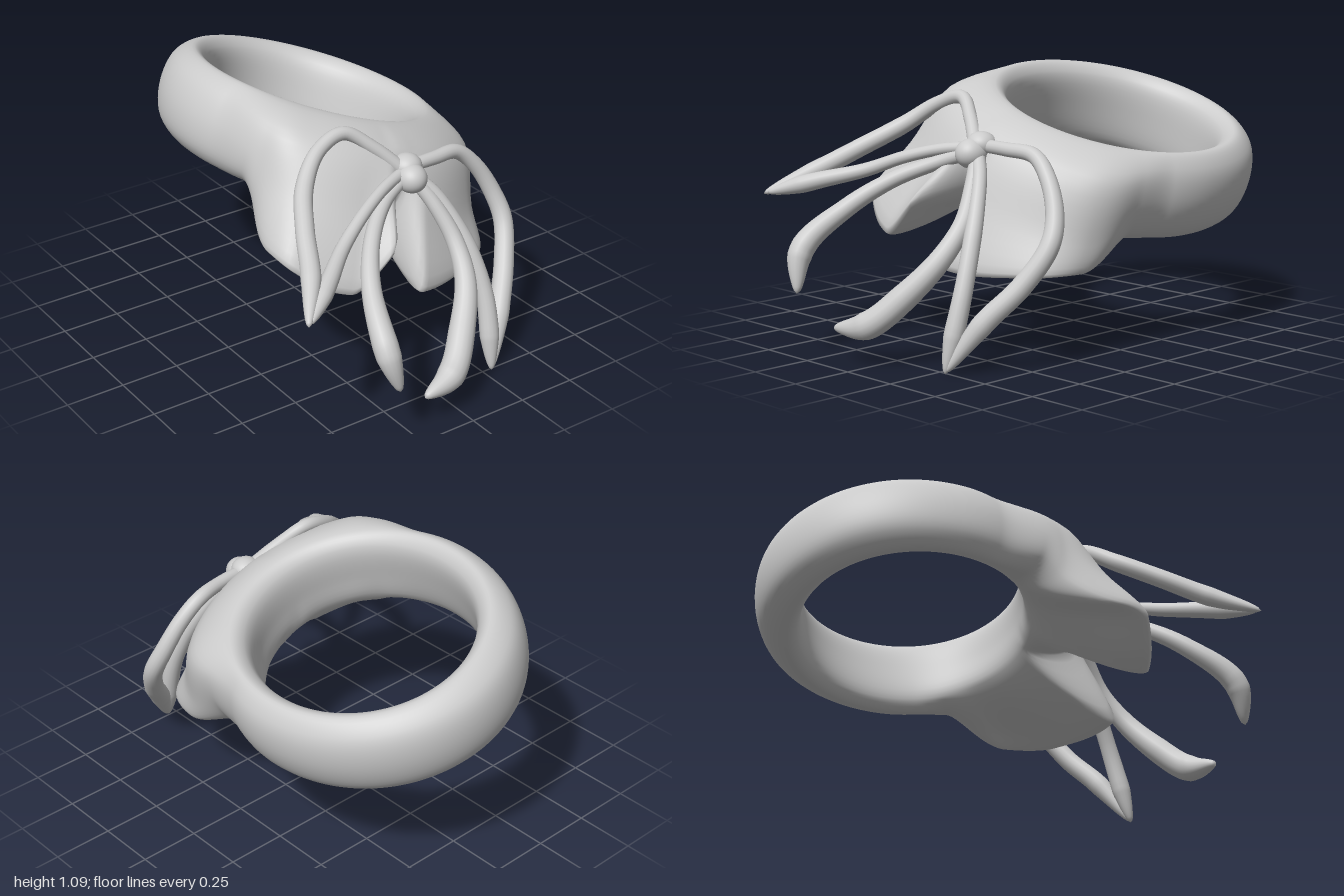
import * as THREE from 'three';
import { mergeVertices } from 'three/addons/utils/BufferGeometryUtils.js';

const material = new THREE.MeshStandardMaterial({ color: 0xcccccc, roughness: 0.6 });
const { lerp, smoothstep, degToRad } = THREE.MathUtils;
const V = (p) => new THREE.Vector3(...p);

// Cross-section (radius, height) of the band at an angle in degrees from the front
function bandSection(angle) {
  const a = Math.abs(angle + 1.3), left = angle > -1.3;
  const swell = 1 - smoothstep(a, 35, 72);                         // thicker front
  const notch = smoothstep(a, 1, 7);                               // gap between the two lobes
  const corner = smoothstep(a, 1, left ? 7 : 15);                  // rounding of the lobe corner
  const drop = corner * (1 - smoothstep(a, left ? 43 : 37, left ? 58 : 54)); // hanging depth
  const flare = notch * (1 - smoothstep(a, 30, left ? 58 : 48));   // outward reach
  const depth = left ? 0.4 - 0.15 * smoothstep(a, 4, 42) : 0.41 - 0.08 * smoothstep(a, 18, 38);
  const reach = left ? 0.92 : 0.945;
  const back = Math.max(0, -Math.cos(degToRad(angle)));
  const side = 0.045 * Math.sin(degToRad(angle)) ** 2;             // slightly oval opening
  const R = 0.595 + 0.065 * back * back;
  const mix = (base, front, lobe) => [
    lerp(lerp(base[0], front[0], swell), lobe[0], flare),
    lerp(lerp(base[1], front[1], swell), lobe[1], drop), 0];
  const points = [
    [0.49 - side, -0.15, 0], [0.47 - side, 0, 0], [0.485 - side, 0.145, 0], [0.54 - side, 0.188, 0],
    mix([R - 0.03, 0.13], [0.71, 0.11], [0.71, 0.11]),
    mix([R, 0], [0.74, -0.02], [0.83, -0.12]),
    mix([R - 0.03, -0.13], [0.7, -0.12], [reach, -depth]),
    mix([0.54 - side, -0.185], [0.59, -0.165], [0.79, -depth * 0.92]),
  ];
  return new THREE.CatmullRomCurve3(points.map(V), true, 'centripetal');
}

function makeBand() {
  const steps = 360, sides = 48, positions = [], index = [];
  for (let i = 0; i < steps; i++) {
    const angle = (i / steps) * 360 - 180, section = bandSection(angle), t = degToRad(angle);
    for (let k = 0; k < sides; k++) {
      const p = section.getPoint(k / sides);
      positions.push(p.x * Math.sin(t), p.y, p.x * Math.cos(t));
      const a = i * sides + k, c = i * sides + (k + 1) % sides;
      const b = ((i + 1) % steps) * sides + k, d = ((i + 1) % steps) * sides + (k + 1) % sides;
      index.push(a, c, b, b, c, d);
    }
  }
  const geometry = new THREE.BufferGeometry();
  geometry.setAttribute('position', new THREE.Float32BufferAttribute(positions, 3));
  geometry.setIndex(index);
  geometry.computeVertexNormals();
  return geometry;
}

// Smooth ribbon strand whose radius runs through the listed values and closes at the end
function makeStrand(points, radii, tip) {
  const curve = new THREE.CatmullRomCurve3(points.map(V), false, 'centripetal');
  const n = 80, sides = 16;
  let geometry = new THREE.TubeGeometry(curve, n, 1, sides, false);
  const pos = geometry.attributes.position, v = new THREE.Vector3();
  for (let i = 0; i <= n; i++) {
    const t = i / n, s = t * (radii.length - 1), j = Math.min(Math.floor(s), radii.length - 2);
    const centre = curve.getPointAt(t);
    const close = Math.sqrt(Math.min(1, (1 - t) / tip));
    const r = lerp(radii[j], radii[j + 1], s - j) * close;
    for (let k = 0; k <= sides; k++) {
      const q = i * (sides + 1) + k;
      v.fromBufferAttribute(pos, q).sub(centre).multiplyScalar(r).add(centre);
      pos.setXYZ(q, v.x, v.y, v.z);
    }
  }
  geometry.deleteAttribute('uv');
  geometry.deleteAttribute('normal');
  geometry = mergeVertices(geometry, 1e-5);
  geometry.computeVertexNormals();
  return geometry;
}

export function createModel() {
  const model = new THREE.Group();
  const add = (name, geometry, parent = model) => {
    const mesh = new THREE.Mesh(geometry, material);
    mesh.name = name;
    parent.add(mesh);
    return mesh;
  };

  // Tilted finger ring with two lobes at the front
  const band = add('ringBand', makeBand());
  band.position.set(0.1, 0.76, -0.34);
  band.rotation.z = -0.318;

  // Ribbon bow
  const bow = new THREE.Group();
  bow.name = 'bow';
  model.add(bow);

  // Knot of two overlapping lumps
  const upper = add('bowKnotUpper', new THREE.SphereGeometry(1, 32, 24), bow);
  upper.position.set(0.11, 0.835, 0.395);
  upper.scale.set(0.062, 0.05, 0.062);
  const lower = add('bowKnotLower', new THREE.SphereGeometry(1, 32, 24), bow);
  lower.position.set(0.1, 0.8, 0.44);
  lower.scale.set(0.062, 0.06, 0.068);

  add('rightLoopOuter', makeStrand([
    [0.08, 0.83, 0.4], [-0.01, 0.92, 0.34], [-0.12, 0.995, 0.285], [-0.25, 0.96, 0.3],
    [-0.37, 0.87, 0.38], [-0.47, 0.78, 0.53], [-0.56, 0.69, 0.7], [-0.685, 0.6, 0.87],
  ], [0.03, 0.027, 0.03, 0.037, 0.038, 0.04, 0.04], 0.18), bow);

  add('rightLoopInner', makeStrand([
    [0.08, 0.82, 0.41], [-0.05, 0.805, 0.46], [-0.2, 0.765, 0.53], [-0.35, 0.705, 0.61],
    [-0.5, 0.66, 0.73], [-0.67, 0.605, 0.86],
  ], [0.024, 0.024, 0.026, 0.03, 0.036, 0.036], 0.16), bow);

  add('rightTail', makeStrand([
    [0.08, 0.8, 0.42], [-0.05, 0.755, 0.47], [-0.2, 0.68, 0.59], [-0.31, 0.57, 0.74],
    [-0.37, 0.42, 0.92], [-0.34, 0.25, 0.975],
  ], [0.026, 0.03, 0.034, 0.04, 0.05, 0.045], 0.15), bow);

  add('leftLoopOuter', makeStrand([
    [0.12, 0.83, 0.4], [0.25, 0.825, 0.39], [0.38, 0.81, 0.37], [0.47, 0.73, 0.385],
    [0.54, 0.6, 0.42], [0.56, 0.49, 0.47], [0.5, 0.34, 0.56], [0.4, 0.2, 0.66],
    [0.29, 0.005, 0.76],
  ], [0.026, 0.03, 0.034, 0.04, 0.042, 0.044, 0.042], 0.18), bow);

  add('leftLoopInner', makeStrand([
    [0.13, 0.79, 0.43], [0.19, 0.72, 0.48], [0.245, 0.6, 0.55], [0.28, 0.48, 0.61],
    [0.305, 0.3, 0.68], [0.29, 0, 0.76],
  ], [0.028, 0.03, 0.035, 0.036, 0.04, 0.038], 0.16), bow);

  add('leftTail', makeStrand([
    [0.12, 0.79, 0.43], [0.17, 0.69, 0.5], [0.21, 0.55, 0.59], [0.19, 0.42, 0.69],
    [0.1, 0.28, 0.79], [-0.02, 0.16, 0.88], [-0.18, 0.13, 0.92],
  ], [0.028, 0.032, 0.038, 0.046, 0.054, 0.056, 0.046], 0.15), bow);

  return model;
}
